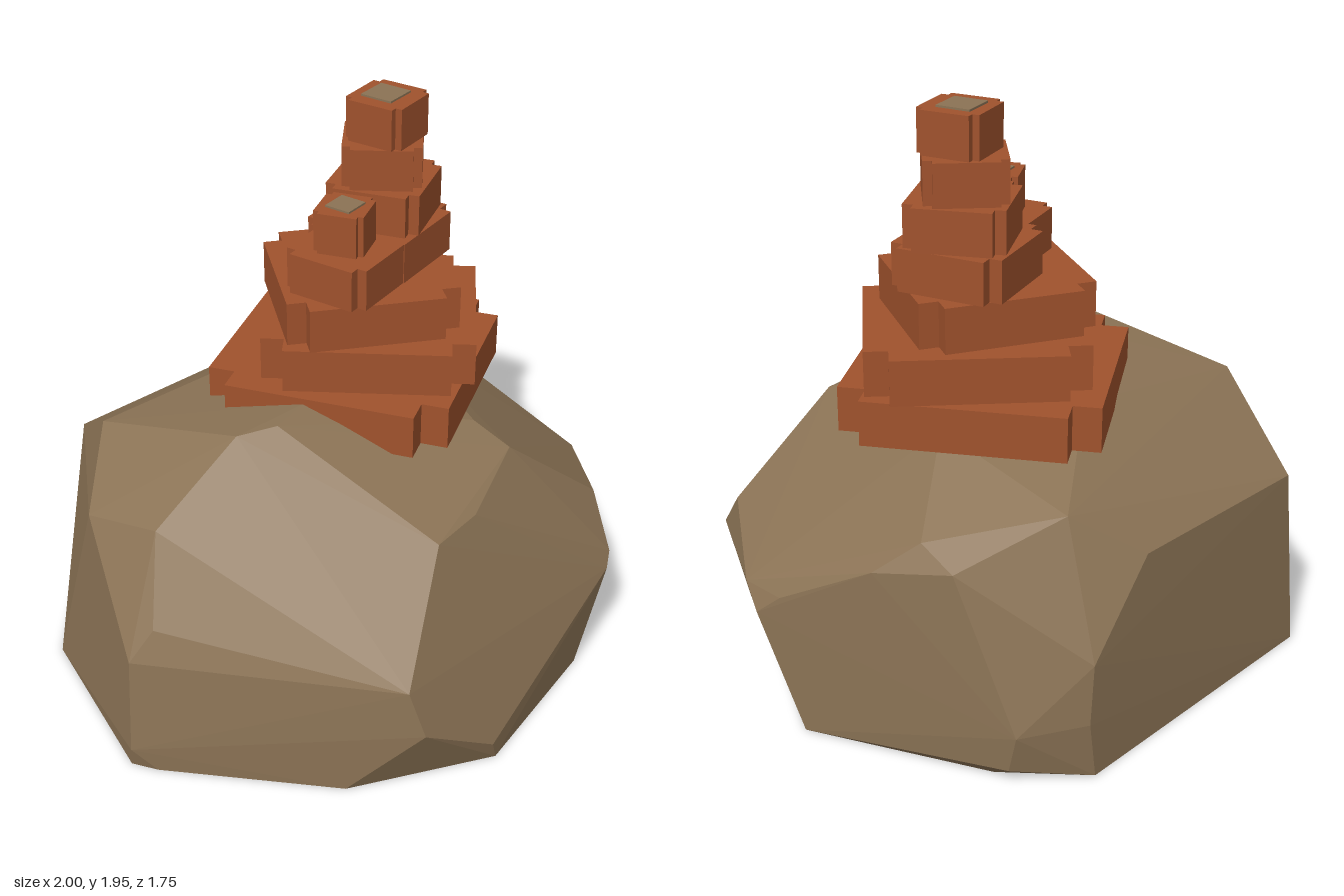
import * as THREE from 'three';
import { ConvexGeometry } from 'three/addons/geometries/ConvexGeometry.js';

const rockBrown = new THREE.MeshStandardMaterial({ color: 0x8b7355 });
rockBrown.name = 'rockBrown';
const brickRust = new THREE.MeshStandardMaterial({ color: 0xa0522d });
brickRust.name = 'brickRust';

// Corners of the faceted boulder
const rockCorners = [
  // base
  [-0.94, 0, 0.2], [-0.99, 0, 0.12], [-0.86, 0, -0.52], [-0.56, 0, -0.87], [0.5, 0, -0.87],
  [0.7, 0, -0.63], [0.95, 0, -0.04], [0.51, 0, 0.69], [-0.04, 0, 0.86], [-0.52, 0, 0.66],
  // lower sides
  [-1, 0.08, 0.14], [-0.97, 0.42, 0.12], [-0.35, 0.26, 0.85], [-0.38, 0.42, 0.8], [-0.07, 0.08, 0.875],
  [0.64, 0.35, 0.69], [0.68, 0.39, 0.66], [1, 0.4, 0.11], [0.97, 0.47, 0.19], [0.97, 0.47, 0.03],
  [0.72, 0.185, -0.74], [0.72, 0.055, -0.71], [0.51, 0.4, -0.865], [0.53, 0.2, -0.87],
  // shoulders
  [-0.89, 0.53, 0.15], [0.73, 0.55, 0.52], [0.865, 0.64, -0.28], [0.77, 0.69, -0.53], [0.77, 0.75, -0.4],
  [-0.5, 0.65, -0.85], [0.25, 0.67, -0.85], [-0.86, 0.75, -0.24], [-0.78, 0.8, 0.03],
  // crown
  [-0.11, 0.77, 0.625], [0.08, 0.78, 0.59], [0.36, 0.855, 0.455], [0.44, 0.815, -0.69],
  [-0.63, 0.895, -0.49], [-0.46, 1.03, 0.04], [-0.34, 1.05, 0.1], [-0.2, 1.06, 0.06],
  [0.05, 0.97, -0.42], [0.46, 0.94, -0.18], [0.31, 0.92, 0.33],
];

// Square slab with notched corners; l is its half length
function slabGeometry(l, height) {
  const w = l * 0.78;
  const outline = [
    [l, -w], [l, w], [w, w], [w, l], [-w, l], [-w, w],
    [-l, w], [-l, -w], [-w, -w], [-w, -l], [w, -l], [w, -w],
  ].map(([x, y]) => new THREE.Vector2(x, y));
  const geo = new THREE.ExtrudeGeometry(new THREE.Shape(outline), { depth: height, bevelEnabled: false });
  return geo.rotateX(-Math.PI / 2);
}

export function createModel() {
  const model = new THREE.Group();
  model.name = 'rockTower';

  const boulder = new THREE.Mesh(
    new ConvexGeometry(rockCorners.map((p) => new THREE.Vector3(...p))), rockBrown);
  boulder.name = 'boulder';
  model.add(boulder);

  // Each slab: bottom, top, centre x, centre z, half length, turn in degrees
  const sections = {
    towerBase: [
      [0.93, 1.08, 0.172, -0.115, 0.415, 32],
      [1.08, 1.23, 0.215, -0.09, 0.352, 47],
      [1.23, 1.38, 0.172, -0.102, 0.288, 62],
    ],
    tallSpire: [
      [1.38, 1.52, 0.28, -0.13, 0.188, 17],
      [1.52, 1.66, 0.298, -0.13, 0.16, 31],
      [1.66, 1.8, 0.295, -0.134, 0.131, 47],
      [1.8, 1.94, 0.3, -0.122, 0.105, 17],
    ],
    shortSpire: [
      [1.38, 1.52, 0.05, -0.025, 0.152, 17],
      [1.52, 1.66, 0.046, -0.03, 0.084, 32],
    ],
  };
  for (const [name, slabs] of Object.entries(sections)) {
    const group = new THREE.Group();
    group.name = name;
    slabs.forEach(([y0, y1, x, z, l, turn], i) => {
      const slab = new THREE.Mesh(slabGeometry(l, y1 - y0), brickRust);
      slab.name = `${name}Slab${i + 1}`;
      slab.position.set(x, y0, z);
      slab.rotation.y = THREE.MathUtils.degToRad(turn);
      group.add(slab);
    });
    model.add(group);
  }

  // Stone plates capping the two spires
  for (const [name, x, y, z, size] of [
    ['tallSpireCap', 0.3, 1.942, -0.13, 0.115],
    ['shortSpireCap', 0.048, 1.662, -0.03, 0.092],
  ]) {
    const cap = new THREE.Mesh(new THREE.BoxGeometry(size, 0.009, size), rockBrown);
    cap.name = name;
    cap.position.set(x, y, z);
    cap.rotation.y = THREE.MathUtils.degToRad(15);
    model.add(cap);
  }
  return model;
}
